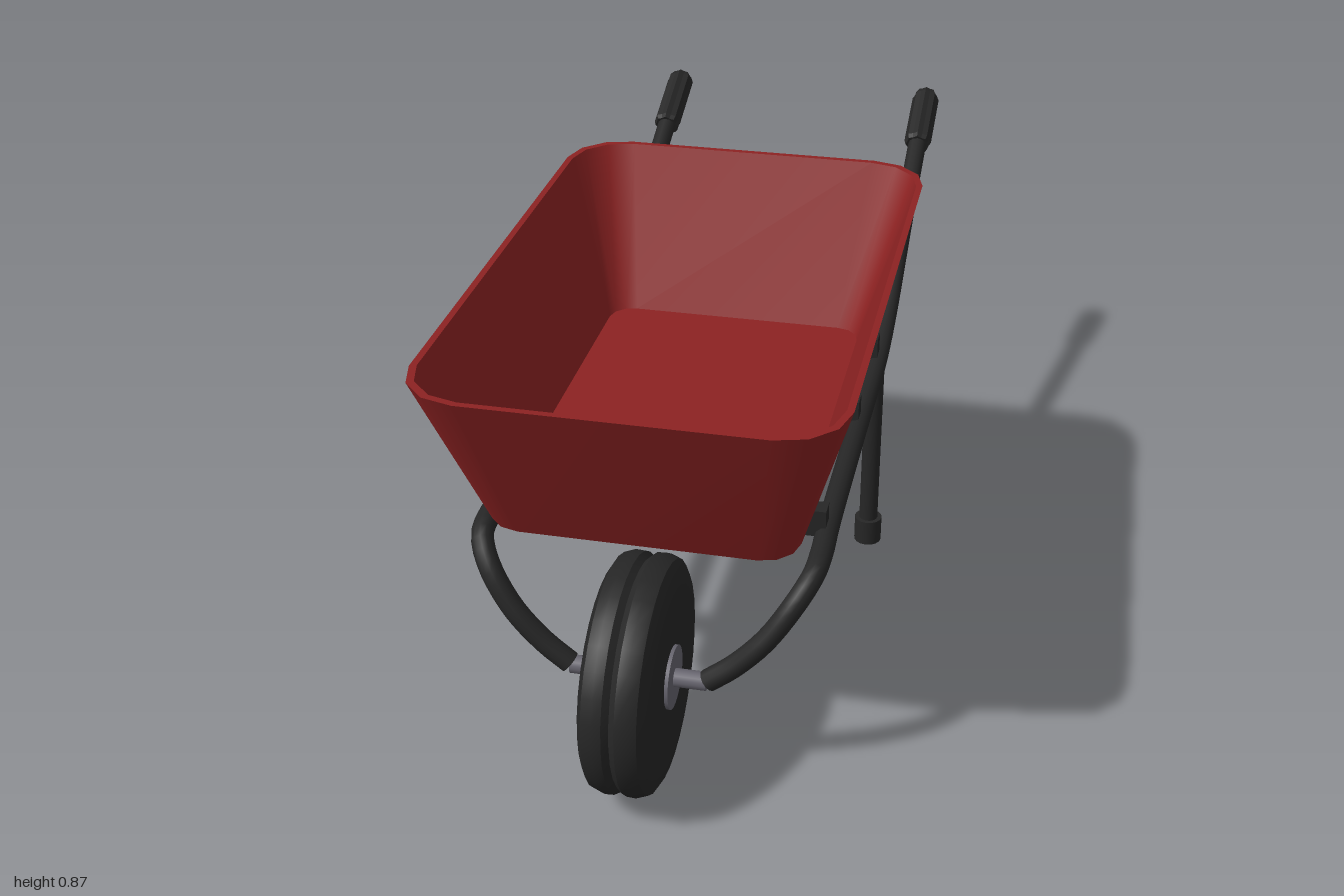
import * as THREE from 'three';
import { mergeGeometries, toCreasedNormals } from 'three/addons/utils/BufferGeometryUtils.js';

const red = new THREE.MeshStandardMaterial({ color: 0x8c2222 });
red.name = 'tubRed';
const black = new THREE.MeshStandardMaterial({ color: 0x262626 });
black.name = 'frameBlack';
const grey = new THREE.MeshStandardMaterial({ color: 0x66646e });
grey.name = 'hubGrey';

const V = (x, y, z) => new THREE.Vector3(x, y, z);

function part(parent, name, geometry, material, x = 0, y = 0, z = 0) {
  const mesh = new THREE.Mesh(geometry, material);
  mesh.name = name;
  mesh.position.set(x, y, z);
  parent.add(mesh);
  return mesh;
}

// Rounded rectangle outline at height y
function ring(y, hx, z0, z1, r) {
  const pts = [], steps = 3, cz = (z0 + z1) / 2, hz = (z1 - z0) / 2;
  const corners = [[1, 1], [-1, 1], [-1, -1], [1, -1]];
  corners.forEach(([sx, sz], q) => {
    for (let i = 0; i <= steps; i++) {
      const a = (q + i / steps) * Math.PI / 2;
      pts.push(V(sx * (hx - r) + r * Math.cos(a), y, cz + sz * (hz - r) + r * Math.sin(a)));
    }
  });
  return pts;
}

// Surface between two outlines, smooth around its length
function band(a, b) {
  const n = a.length, index = [];
  for (let i = 0; i < n; i++) {
    const j = (i + 1) % n;
    index.push(i, n + i, j, j, n + i, n + j);
  }
  const g = new THREE.BufferGeometry().setFromPoints([...a, ...b]);
  g.setIndex(index);
  g.computeVertexNormals();
  return g;
}

function tubGeometry() {
  const rings = [
    ring(0.52, 0, 0.3, 0.3, 0),
    ring(0.52, 0.295, -0.16, 0.765, 0.07),
    ring(0.865, 0.395, -0.32, 0.915, 0.12),
    ring(0.865, 0.382, -0.307, 0.902, 0.112),
    ring(0.533, 0.28, -0.145, 0.745, 0.05),
    ring(0.533, 0, 0.3, 0.3, 0),
  ];
  return mergeGeometries(rings.slice(1).map((r, i) => band(rings[i], r)));
}

// Profile of [radius, height] pairs spun about y
function lathe(profile, segments, crease = 0.6) {
  const pts = profile.map(([r, y]) => new THREE.Vector2(r, y));
  return toCreasedNormals(new THREE.LatheGeometry(pts, segments), crease);
}

// Handle grip with lengthwise ribs
function gripGeometry() {
  const g = lathe([[0, 0], [0.029, 0], [0.033, 0.012], [0.033, 0.17], [0.025, 0.188], [0, 0.188]], 16);
  const p = g.attributes.position;
  for (let i = 0; i < p.count; i++) {
    const k = Math.round(Math.atan2(p.getX(i), p.getZ(i)) / (Math.PI / 8));
    const s = k % 2 === 0 ? 1 : 0.88;
    p.setXYZ(i, p.getX(i) * s, p.getY(i), p.getZ(i) * s);
  }
  g.computeVertexNormals();
  return g;
}

export function createModel() {
  const model = new THREE.Group();
  model.name = 'wheelbarrow';

  part(model, 'tub', tubGeometry(), red);

  // Wheel: tyre with a centre groove, hub discs and axle
  const wheel = new THREE.Group();
  wheel.name = 'wheel';
  wheel.position.set(0, 0.233, 0.768);
  wheel.rotation.z = Math.PI / 2;
  model.add(wheel);
  const half = [[0, -0.062], [0.06, -0.064], [0.17, -0.066], [0.205, -0.063], [0.224, -0.052], [0.232, -0.03], [0.231, -0.012]];
  const profile = [...half, [0.221, 0], ...half.map(([r, y]) => [r, -y]).reverse()];
  part(wheel, 'tyre', lathe(profile, 30), black);
  part(wheel, 'hub', new THREE.CylinderGeometry(0.062, 0.062, 0.142, 24), grey);
  part(wheel, 'axle', new THREE.CylinderGeometry(0.018, 0.018, 0.265, 16), grey);

  // Bars carrying the tub
  for (const z of [0.565, 0.14, -0.15]) {
    part(model, 'crossbar', new THREE.BoxGeometry(0.645, 0.056, 0.036), black, 0, 0.492, z);
  }

  const up = V(0, 1, 0);
  for (const s of [1, -1]) {
    const side = new THREE.Group();
    side.name = s > 0 ? 'leftSide' : 'rightSide';
    model.add(side);

    // Bent tube from axle to handle
    const path = new THREE.CatmullRomCurve3([
      V(0.135, 0.236, 0.768), V(0.185, 0.278, 0.768), V(0.245, 0.345, 0.763),
      V(0.295, 0.42, 0.74), V(0.319, 0.456, 0.7), V(0.324, 0.464, 0.64),
      V(0.321, 0.461, 0.54), V(0.32, 0.458, 0.2), V(0.32, 0.451, -0.1),
      V(0.32, 0.46, -0.2), V(0.32, 0.496, -0.32), V(0.32, 0.592, -0.52),
      V(0.319, 0.67, -0.7), V(0.319, 0.732, -0.85),
    ].map((p) => V(p.x * s, p.y, p.z)));
    part(side, 'frameTube', new THREE.TubeGeometry(path, 90, 0.022, 12), black);
    const cap = part(side, 'tubeCap', new THREE.CircleGeometry(0.022, 12), black);
    cap.position.copy(path.getPoint(0));
    cap.quaternion.setFromUnitVectors(V(0, 0, 1), path.getTangent(0).negate());

    const grip = part(side, 'grip', gripGeometry(), black, 0.319 * s, 0.716, -0.812);
    grip.quaternion.setFromUnitVectors(up, V(0, 0.39, -1).normalize());

    // Leg with rubber foot
    part(side, 'leg', new THREE.CylinderGeometry(0.021, 0.021, 0.45, 16), black, 0.32 * s, 0.23, -0.125);
    part(side, 'foot', new THREE.CylinderGeometry(0.031, 0.031, 0.06, 16), black, 0.32 * s, 0.03, -0.125);
  }
  return model;
}
